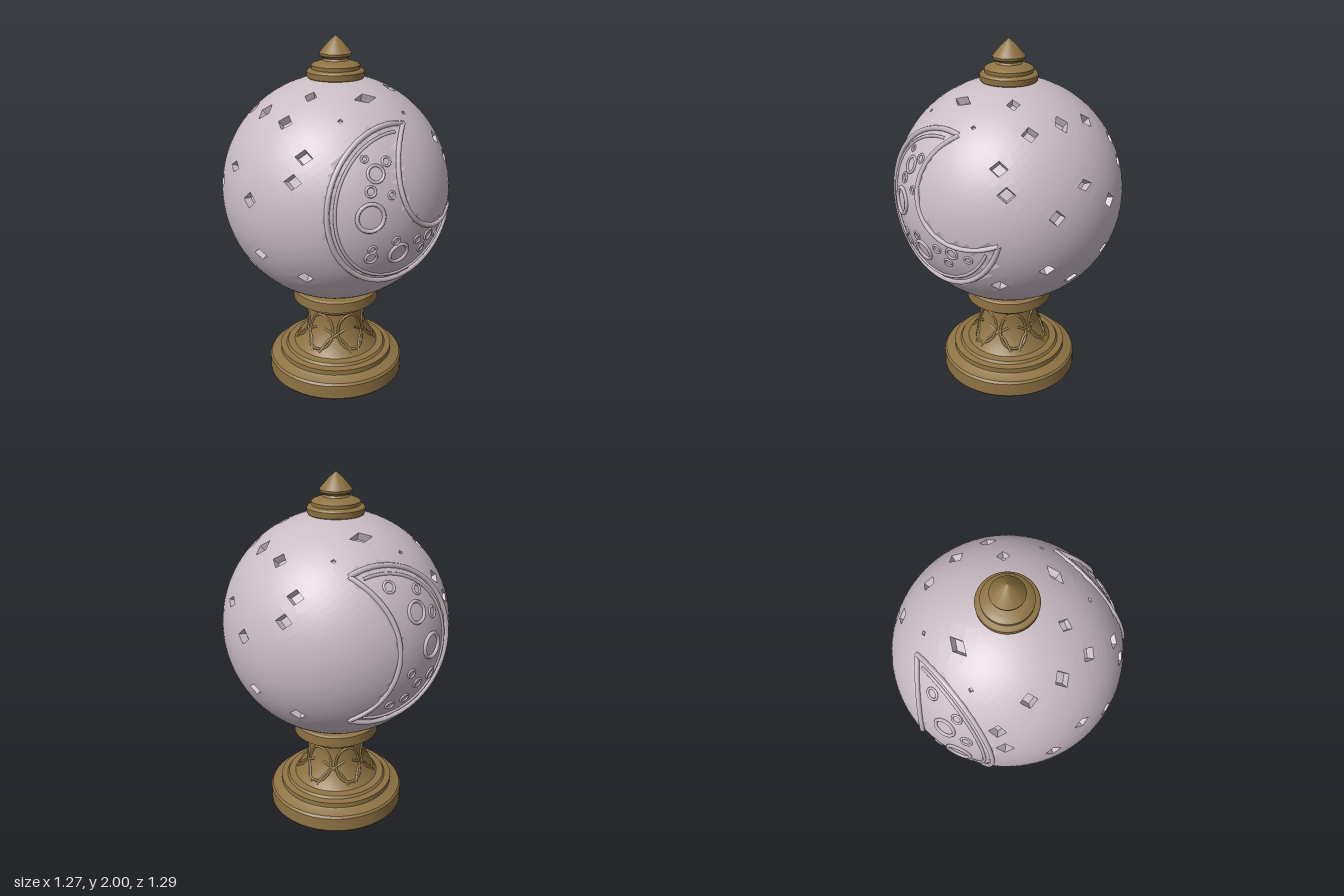
import * as THREE from 'three';
import { ConvexGeometry } from 'three/addons/geometries/ConvexGeometry.js';
import { toCreasedNormals } from 'three/addons/utils/BufferGeometryUtils.js';

const R = 0.635, CY = 1.16;
const V = (x, y, z) => new THREE.Vector3(x, y, z);

// Point on the globe (relative to its centre) in front of (x, y); side is +1 front, -1 back
function onGlobe(x, y, side, lift = 0) {
  const dy = y - CY;
  const z = side * Math.sqrt(Math.max(0, R * R - x * x - dy * dy));
  return V(x, dy, z).setLength(R + lift);
}

// Crescents: outer circle minus inner circle, with craters [x, y, radius]
const moons = [
  { side: 1, ox: 0.06, oy: 1.2, or: 0.41, ix: 0.31, iy: 1.36, ir: 0.29,
    craters: [[-0.15, 1.2, 0.07], [-0.1, 1.41, 0.042], [0.03, 0.97, 0.055], [0, 1.05, 0.02], [-0.14, 1.33, 0.025],
      [-0.03, 1.3, 0.018], [0.15, 1.02, 0.022], [0.2, 0.95, 0.022], [0.24, 1.02, 0.03], [-0.13, 1.02, 0.02],
      [-0.14, 1.48, 0.016], [-0.03, 1.46, 0.022], [-0.13, 0.97, 0.03], [0.32, 1.0, 0.02]] },
  { side: -1, ox: -0.02, oy: 1.19, or: 0.42, ix: 0.39, iy: 1.2, ir: 0.45,
    craters: [[-0.19, 1.38, 0.055], [-0.29, 1.18, 0.065], [-0.31, 1.35, 0.028], [-0.22, 1.48, 0.025], [-0.31, 1.0, 0.03],
      [-0.21, 0.98, 0.025], [-0.05, 1.52, 0.03], [-0.14, 0.9, 0.025], [-0.15, 1.06, 0.022], [-0.05, 0.88, 0.025]] },
];
const inMoon = (m, p) => p.z * m.side > 0 &&
  Math.hypot(p.x - m.ox, p.y + CY - m.oy) < m.or && Math.hypot(p.x - m.ix, p.y + CY - m.iy) > m.ir;

// Diamond windows: direction, half width and half height
function diamondList() {
  const list = [];
  const add = (x, y, z, w = 0.044, h = 0.042) => {
    const c = V(x, y - CY, z).normalize();
    const side = V(0, 1, 0).cross(c).normalize();
    const up = c.clone().cross(side);
    const corners = [[w, 0], [0, h], [-w, 0], [0, -h]].map(([a, b]) =>
      c.clone().multiplyScalar(R).addScaledVector(side, a).addScaledVector(up, b).setLength(R));
    list.push({ c, corners });
  };
  for (const s of [1, -1]) {
    add(s * 0.42, 1.64, 0, 0.042, 0.052);
    add(s * 0.6, 1.37, 0, 0.046, 0.03);
    add(s * 0.53, 0.81, 0, 0.05, 0.04);
    add(s * 0.24, 1.73, 0.165, 0.034, 0.04);
    add(0, 1.715, s * 0.3, 0.065, 0.036);
    for (const t of [1, -1]) {
      add(s * 0.6, 1.24, t * 0.18);
      add(s * 0.4, 1.62, t * 0.19);
      add(s * 0.395, 1.485, t * 0.38, 0.046, 0.04);
      add(s * 0.46, 1.37, t * 0.385, 0.046, 0.04);
      add(s * 0.56, 0.94, t * 0.2, 0.046, 0.036);
      add(s * 0.395, 0.84, t * 0.38, 0.046, 0.042);
      add(s * 0.19, 1.645, t * 0.38, 0.014, 0.012);
    }
  }
  return list;
}

// Faceted globe skin: hull of scattered points, with the diamond faces left out
function globeSkin(diamonds) {
  const key = (p) => [p.x, p.y, p.z].map((n) => Math.round(n * 1e5)).join();
  const owner = new Map();
  const points = [];
  diamonds.forEach((d, i) => d.corners.forEach((p) => { points.push(p); owner.set(key(p), i); }));
  const n = 3600;
  for (let i = 0; i < n; i++) {
    const y = 1 - (2 * i + 1) / n, r = Math.sqrt(1 - y * y), a = i * 2.399963;
    const p = V(r * Math.cos(a), y, r * Math.sin(a)).multiplyScalar(R);
    const clear = diamonds.every((d) => {
      const size = Math.max(...d.corners.map((q) => q.distanceTo(d.corners[0]))) / 2;
      return p.distanceTo(d.c.clone().multiplyScalar(R)) > size + 0.016;
    });
    if (clear) points.push(p);
  }
  const pos = new ConvexGeometry(points).attributes.position;
  const out = [];
  for (let f = 0; f < pos.count; f += 3) {
    const tri = [0, 1, 2].map((k) => V().fromBufferAttribute(pos, f + k));
    const own = tri.map((p) => owner.get(key(p)));
    if (own[0] !== undefined && own[0] === own[1] && own[1] === own[2]) continue;
    for (const p of tri) {
      // Sink the crescents slightly
      if (owner.get(key(p)) === undefined && moons.some((m) => inMoon(m, p))) p.setLength(R - 0.01);
      out.push(p.x, p.y, p.z);
    }
  }
  const g = new THREE.BufferGeometry();
  g.setAttribute('position', new THREE.Float32BufferAttribute(out, 3));
  g.computeVertexNormals();
  return toCreasedNormals(g, 0.06);
}

// Sloping walls and floor behind one diamond window
function diamondCup(d) {
  const depth = Math.min(0.04, d.corners[0].distanceTo(d.corners[2]) * 0.45);
  const floor = d.corners.map((p) => p.clone().lerp(d.c.clone().multiplyScalar(R), 0.2).addScaledVector(d.c, -depth));
  const out = [];
  const tri = (...ps) => ps.forEach((p) => out.push(p.x, p.y, p.z));
  for (let i = 0; i < 4; i++) {
    const j = (i + 1) % 4;
    tri(d.corners[i], d.corners[j], floor[j]);
    tri(d.corners[i], floor[j], floor[i]);
  }
  tri(floor[0], floor[1], floor[2]);
  tri(floor[0], floor[2], floor[3]);
  const g = new THREE.BufferGeometry();
  g.setAttribute('position', new THREE.Float32BufferAttribute(out, 3));
  g.computeVertexNormals();
  return g;
}

// Outline of a crescent, drawn slightly inside by inset
function crescentOutline(m, inset, lift) {
  const or = m.or - inset, ir = m.ir + inset;
  const dx = m.ix - m.ox, dy = m.iy - m.oy, d = Math.hypot(dx, dy), dir = Math.atan2(dy, dx);
  const a = Math.acos((or * or + d * d - ir * ir) / (2 * or * d));
  const b = Math.acos((ir * ir + d * d - or * or) / (2 * ir * d));
  const arc = (x, y, r, from, to) => Array.from({ length: 41 }, (_, i) => {
    const t = from + (to - from) * i / 40;
    return onGlobe(x + r * Math.cos(t), y + r * Math.sin(t), m.side, lift);
  });
  return [arc(m.ox, m.oy, or, dir + a, dir + 2 * Math.PI - a),
    arc(m.ix, m.iy, ir, dir + Math.PI + b, dir + Math.PI - b)];
}

const tube = (pts, r, closed = false, n = 70) =>
  new THREE.TubeGeometry(new THREE.CatmullRomCurve3(pts, closed), n, r, 6, closed);

const lathe = (pts) => toCreasedNormals(
  new THREE.LatheGeometry(pts.map(([r, y]) => new THREE.Vector2(r, y)), 56), 0.5);

export function createModel() {
  const stone = new THREE.MeshStandardMaterial({ color: 0xc9bcc4 });
  stone.name = 'paleStone';
  const bronze = new THREE.MeshStandardMaterial({ color: 0x8f7343 });
  bronze.name = 'agedBronze';
  const model = new THREE.Group();
  const add = (parent, name, geometry, material) => {
    const mesh = new THREE.Mesh(geometry, material);
    mesh.name = name;
    parent.add(mesh);
    return mesh;
  };

  // Globe with windows
  const globe = new THREE.Group();
  globe.name = 'globe';
  globe.position.y = CY;
  model.add(globe);
  const diamonds = diamondList();
  add(globe, 'globeSkin', globeSkin(diamonds), stone);
  diamonds.forEach((d) => add(globe, 'diamondWindow', diamondCup(d), stone));

  // Crescent rims and craters
  for (const m of moons) {
    for (const line of crescentOutline(m, 0, -0.002)) add(globe, 'crescentRim', tube(line, 0.014), stone);
    add(globe, 'crescentInnerRim', tube(crescentOutline(m, 0.032, -0.009)[0], 0.009), stone);
    for (const [x, y, r] of m.craters) {
      const ring = add(globe, 'craterRing', new THREE.TorusGeometry(r, 0.004 + r * 0.1, 6, 24), stone);
      ring.position.copy(onGlobe(x, y, m.side, -0.009));
      ring.quaternion.setFromUnitVectors(V(0, 0, 1), ring.position.clone().normalize());
    }
  }

  // Pedestal with hollow underside
  const neck = [[0.25, 0.18], [0.225, 0.21], [0.195, 0.26], [0.175, 0.31], [0.165, 0.36], [0.165, 0.42]];
  add(model, 'pedestal', lathe([[0, 0.05], [0.235, 0.05], [0.255, 0], [0.39, 0], [0.4, 0.012], [0.4, 0.092], [0.39, 0.105],
    [0.345, 0.118], [0.335, 0.125], [0.335, 0.155], [0.3, 0.16], [0.29, 0.175], ...neck,
    [0.18, 0.435], [0.195, 0.44], [0.195, 0.46], [0.2, 0.475], [0.25, 0.48], [0.25, 0.54], [0.24, 0.547], [0, 0.55]]), bronze);

  // Carved leaves round the neck
  const neckRadius = (y) => {
    const i = Math.max(1, neck.findIndex((p) => p[1] >= y));
    const [a, b] = [neck[i - 1], neck[i]];
    return a[0] + (b[0] - a[0]) * (y - a[1]) / (b[1] - a[1]);
  };
  const onNeck = (a, y) => V(Math.sin(a) * neckRadius(y), y, Math.cos(a) * neckRadius(y));
  for (let k = 0; k < 6; k++) {
    const a = k * Math.PI / 3;
    const oval = Array.from({ length: 20 }, (_, i) => {
      const t = i / 20 * Math.PI * 2;
      return onNeck(a + 0.44 * Math.sin(t), 0.315 + 0.1 * Math.cos(t));
    });
    add(model, 'leafOutline', tube(oval, 0.008, true, 48), bronze);
    for (const s of [1, -1]) {
      const rib = [0, 1, 2, 3, 4].map((i) => onNeck(a + s * (0.1 + 0.2 * i), 0.2 + 0.13 * Math.sqrt(i / 4)));
      add(model, 'leafRib', tube(rib, 0.007, false, 20), bronze);
    }
  }

  // Finial
  add(model, 'finial', lathe([[0.14, 1.765], [0.155, 1.785], [0.157, 1.812], [0.15, 1.82], [0.13, 1.825], [0.132, 1.845],
    [0.12, 1.855], [0.1, 1.862], [0.07, 1.87], [0.062, 1.88], [0.085, 1.895], [0.088, 1.908], [0.07, 1.93],
    [0.035, 1.97], [0, 2]]), bronze);
  return model;
}
